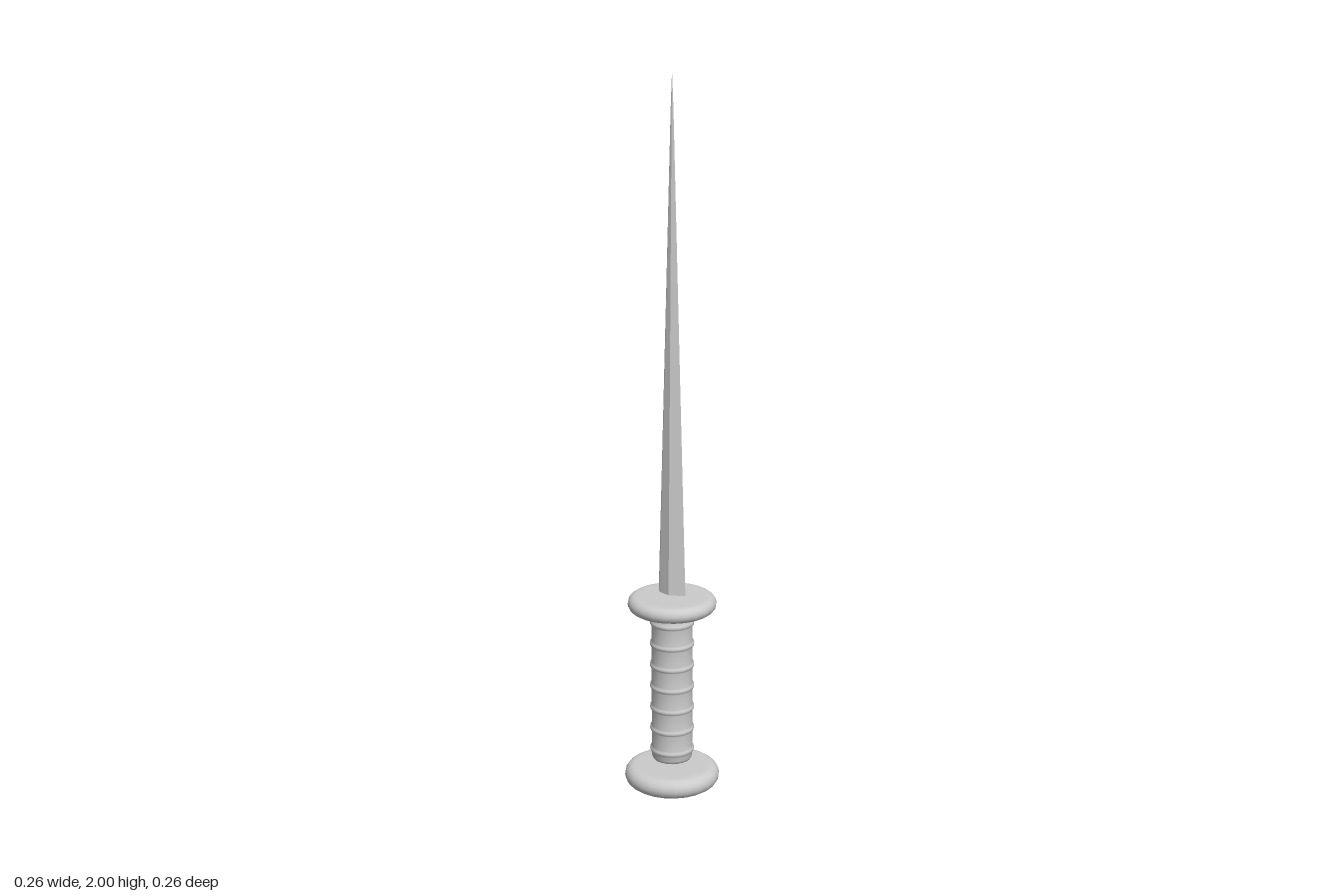
import * as THREE from 'three';
import { toCreasedNormals } from 'three/addons/utils/BufferGeometryUtils.js';

const SIDES = 24;
const material = new THREE.MeshStandardMaterial({ color: 0xcccccc });

// Surface of revolution from [radius, height] pairs, bottom to top
function turned(name, profile) {
  const points = profile.map(([r, y]) => new THREE.Vector2(r, y));
  const mesh = new THREE.Mesh(new THREE.LatheGeometry(points, SIDES, Math.PI / SIDES), material);
  mesh.name = name;
  return mesh;
}

// Flat disc with a rounded rim
function disc(name, radius, bottom, top) {
  const h = (top - bottom) / 2, mid = (top + bottom) / 2;
  const profile = [[0, bottom], [radius - h * 1.6, bottom]];
  for (let i = 0; i <= 8; i++) {
    const a = -Math.PI / 2 + (i / 8) * Math.PI;
    profile.push([radius - h + h * Math.cos(a), mid + h * Math.sin(a)]);
  }
  profile.push([radius - h * 1.6, top], [0, top]);
  return turned(name, profile);
}

// Grip with rounded ends and evenly spaced raised rings
function grip() {
  const r = 0.057, bottom = 0.077, top = 0.518;
  const profile = [[0, bottom], [r - 0.012, bottom], [r - 0.004, bottom + 0.004], [r, bottom + 0.012]];
  for (let i = 0; i < 7; i++) {
    const y = 0.11 + i * 0.063;
    profile.push([r, y - 0.009], [r + 0.004, y - 0.005], [r + 0.005, y], [r + 0.004, y + 0.005], [r, y + 0.009]);
  }
  profile.push([r, top - 0.012], [r - 0.004, top - 0.004], [r - 0.012, top], [0, top]);
  return turned('grip', profile);
}

// Six-sided blade tapering to a point
function blade() {
  const section = [[0.055, 0], [0.019, 0.03], [-0.019, 0.03], [-0.055, 0], [-0.019, -0.03], [0.019, -0.03]];
  const levels = [[0.577, 1], [1.0, 0.71], [1.5, 0.37], [1.9, 0.1], [2.0, 0]]; // height, scale
  const positions = [];
  const corner = (j, i) => {
    const [x, z] = section[i % 6], [y, s] = levels[j];
    return [x * s, y, z * s];
  };
  for (let i = 0; i < 6; i++) {
    positions.push(0, levels[0][0], 0, ...corner(0, i), ...corner(0, i + 1)); // base cap
    for (let j = 0; j < levels.length - 1; j++) {
      const a = corner(j, i), b = corner(j, i + 1), c = corner(j + 1, i + 1), d = corner(j + 1, i);
      positions.push(...a, ...d, ...b);
      if (j < levels.length - 2) positions.push(...b, ...d, ...c);
    }
  }
  const geometry = new THREE.BufferGeometry();
  geometry.setAttribute('position', new THREE.Float32BufferAttribute(positions, 3));
  const mesh = new THREE.Mesh(toCreasedNormals(geometry, 0.4), material);
  mesh.name = 'blade';
  return mesh;
}

export function createModel() {
  const group = new THREE.Group();
  group.name = 'dagger';
  group.add(
    disc('pommel', 0.133, 0.004, 0.059),
    grip(),
    disc('guard', 0.123, 0.521, 0.564),
    blade()
  );
  return group;
}
